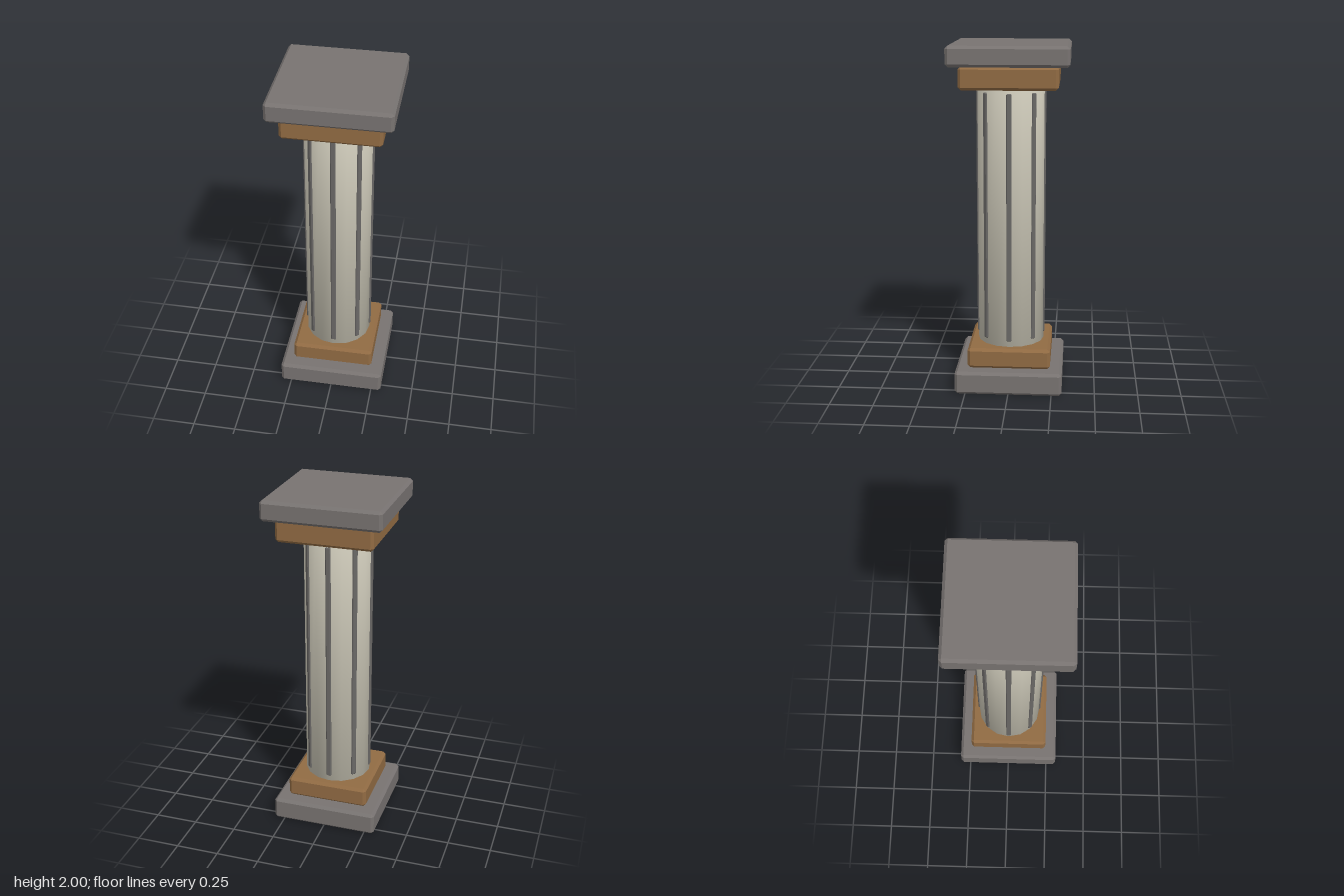
import * as THREE from 'three';
import { ConvexGeometry } from 'three/addons/geometries/ConvexGeometry.js';

const stone = new THREE.MeshStandardMaterial({ color: 0x787371 });
const wood = new THREE.MeshStandardMaterial({ color: 0x916b43 });
const plaster = new THREE.MeshStandardMaterial({ color: 0xc8c4b4 });
const ribGrey = new THREE.MeshStandardMaterial({ color: 0x6a6866 });

// Box with every edge chamfered by c: three points at each corner
function chamferedBox(w, h, d, c) {
  const points = [];
  for (const x of [-w / 2, w / 2])
    for (const y of [-h / 2, h / 2])
      for (const z of [-d / 2, d / 2]) {
        const ix = x - Math.sign(x) * c, iy = y - Math.sign(y) * c, iz = z - Math.sign(z) * c;
        points.push(
          new THREE.Vector3(x, iy, iz),
          new THREE.Vector3(ix, y, iz),
          new THREE.Vector3(ix, iy, z)
        );
      }
  return new ConvexGeometry(points);
}

export function createModel() {
  const column = new THREE.Group();
  column.name = 'column';

  const add = (name, geometry, material, y, parent = column) => {
    const mesh = new THREE.Mesh(geometry, material);
    mesh.name = name;
    mesh.position.y = y;
    parent.add(mesh);
    return mesh;
  };

  // Square slabs at the foot and head
  const slabs = [
    ['basePlinth', 0.62, 0, 0.135, stone],
    ['baseTrim', 0.48, 0.135, 0.255, wood],
    ['capitalTrim', 0.55, 1.755, 1.885, wood],
    ['capitalSlab', 0.674, 1.885, 2, stone],
  ];
  for (const [name, width, y0, y1, material] of slabs)
    add(name, chamferedBox(width, y1 - y0, width, 0.016), material, (y0 + y1) / 2);

  // Round shaft, with normals leaning outward at the ends for soft shading
  const shaft = new THREE.CylinderGeometry(0.194, 0.194, 1.52, 16, 1, true);
  const { position, normal } = shaft.attributes;
  for (let i = 0; i < position.count; i++) {
    const n = new THREE.Vector3().fromBufferAttribute(normal, i);
    n.y = 0.4 * Math.sign(position.getY(i));
    n.normalize();
    normal.setXYZ(i, n.x, n.y, n.z);
  }
  add('shaft', shaft, plaster, 1.005);

  // Eight upright ribs around the shaft
  const ribs = new THREE.Group();
  ribs.name = 'ribs';
  column.add(ribs);
  const ribGeometry = chamferedBox(0.03, 1.44, 0.03, 0.005);
  for (let i = 0; i < 8; i++) {
    const angle = (i * Math.PI) / 4;
    const rib = add('rib', ribGeometry, ribGrey, 1.01, ribs);
    rib.position.x = Math.sin(angle) * 0.185;
    rib.position.z = Math.cos(angle) * 0.185;
    rib.rotation.y = angle;
  }

  return column;
}
